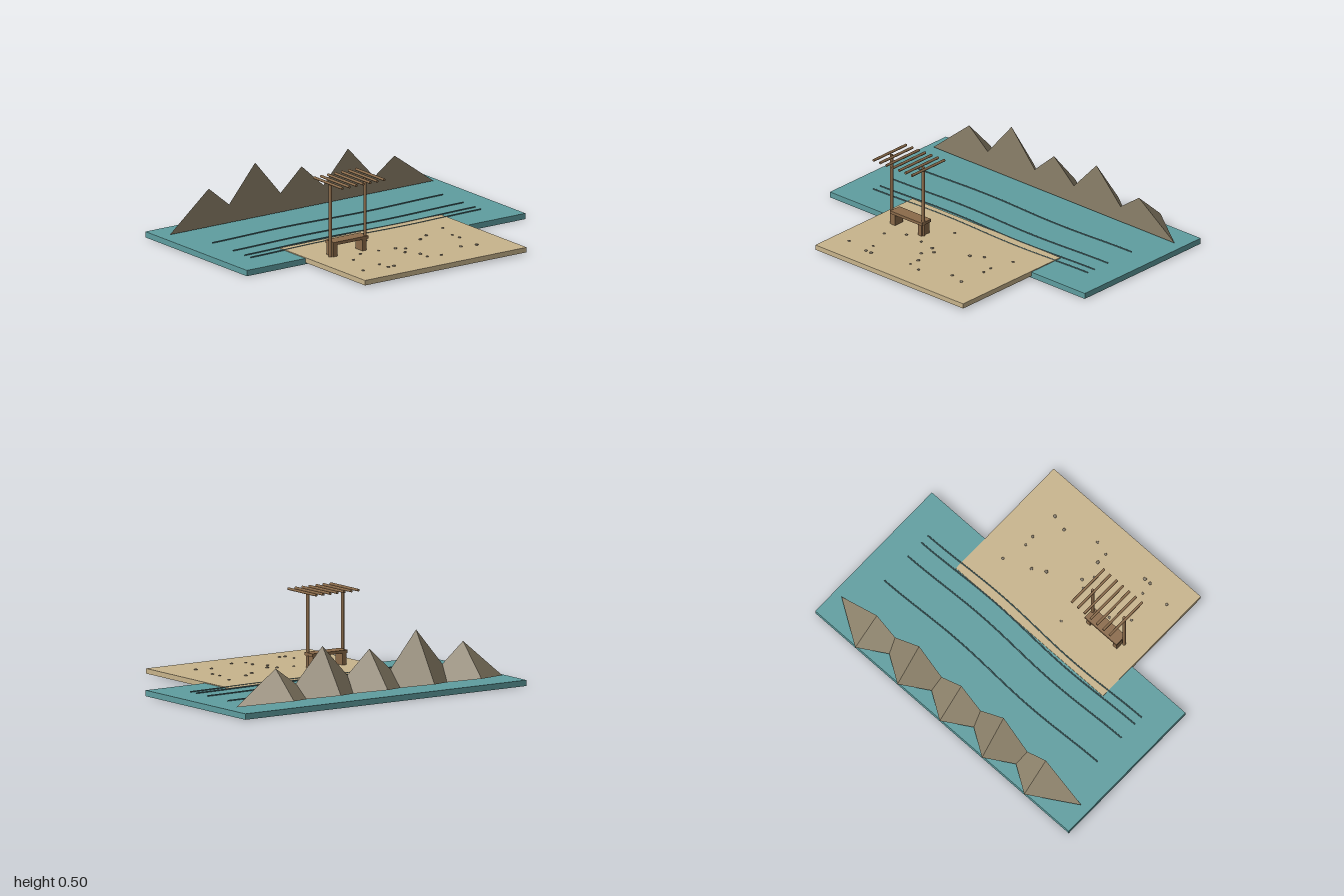
import * as THREE from 'three';

const mat = (color, flatShading = false) => new THREE.MeshStandardMaterial({ color, flatShading });

export function createModel() {
  const model = new THREE.Group();
  const water = mat(0x5f9ea0), sandy = mat(0xc8b48c), rock = mat(0x8b8069, true);
  const wood = mat(0x8b6b4a), ripple = mat(0x50767a), stone = mat(0x7d7260, true);

  const add = (name, geometry, material, x, y, z, parent = model) => {
    const mesh = new THREE.Mesh(geometry, material);
    mesh.name = name;
    mesh.position.set(x, y, z);
    parent.add(mesh);
    return mesh;
  };
  const group = (name) => {
    const g = new THREE.Group();
    g.name = name;
    model.add(g);
    return g;
  };

  // Ground slabs
  add('lake', new THREE.BoxGeometry(2, 0.035, 0.995), water, 0, 0.0175, -0.283);
  add('beach', new THREE.BoxGeometry(1.16, 0.03, 0.835), sandy, 0, 0.025, 0.3825);

  // Mountains: three-sided peaks with an upright front and a raised back foot
  const mountains = group('mountains');
  const peak = (h) => {
    const w = 0.28;
    const g = new THREE.BufferGeometry();
    g.setAttribute('position', new THREE.Float32BufferAttribute(
      [-w, 0, 0, w, 0, 0, 0, h, 0, 0, 0.033, -0.185], 3));
    g.setIndex([0, 1, 2, 0, 2, 3, 1, 3, 2, 0, 3, 1]);
    const flat = g.toNonIndexed();
    flat.computeVertexNormals();
    return flat;
  };
  [0.23, 0.33, 0.25, 0.3, 0.2].forEach((h, i) =>
    add('mountain', peak(h), rock, (i - 2) / 3, 0.045, -0.615, mountains));

  // Ripples: thin wavy lines across the water
  const ripples = group('ripples');
  for (const z of [-0.362, -0.16, -0.045, 0.012]) {
    const points = [];
    for (let i = 0; i <= 24; i++) {
      const x = -0.835 + (1.67 * i) / 24;
      points.push(new THREE.Vector3(x, 0, 0.009 * Math.cos(5.5 * (x - 0.27))));
    }
    const path = new THREE.CatmullRomCurve3(points);
    add('ripple', new THREE.TubeGeometry(path, 48, 0.004, 6), ripple, 0, 0.039, z, ripples);
  }

  // Pergola: two posts under a row of slats
  const pergola = group('pergola');
  for (const x of [-0.452, -0.203])
    add('post', new THREE.CylinderGeometry(0.01, 0.01, 0.44, 12), wood, x, 0.26, 0.285, pergola);
  const slat = new THREE.CylinderGeometry(0.008, 0.008, 0.28, 10).rotateX(Math.PI / 2);
  for (let i = 0; i < 7; i++)
    add('slat', slat, wood, -0.466 + i * 0.05, 0.487, 0.285, pergola);

  // Bench
  const bench = group('bench');
  add('seat', new THREE.BoxGeometry(0.25, 0.018, 0.08), wood, -0.32, 0.119, 0.266, bench);
  for (const x of [-0.427, -0.217])
    add('benchLeg', new THREE.BoxGeometry(0.03, 0.07, 0.068), wood, x, 0.075, 0.266, bench);

  // Pebbles scattered on the sand
  const pebbles = group('pebbles');
  const pebble = new THREE.IcosahedronGeometry(0.01, 1).scale(1, 0.55, 0.9);
  const spots = [
    [-0.09, 0.14], [0.42, 0.195], [0.255, 0.26], [0.18, 0.305], [0.38, 0.345], [0.385, 0.41],
    [-0.005, 0.41], [-0.05, 0.375], [-0.155, 0.355], [-0.28, 0.345], [-0.05, 0.47],
    [0, 0.55], [0, 0.617], [0.085, 0.64], [0.28, 0.565], [0.375, 0.59], [-0.32, 0.585],
    [-0.47, 0.63], [-0.31, 0.66], [-0.27, 0.66], [-0.385, 0.42],
  ];
  spots.forEach(([x, z], i) => {
    const p = add('pebble', pebble, stone, x, 0.042, z, pebbles);
    p.scale.setScalar(0.8 + 0.1 * (i % 4));
    p.rotation.y = i;
  });

  return model;
}
